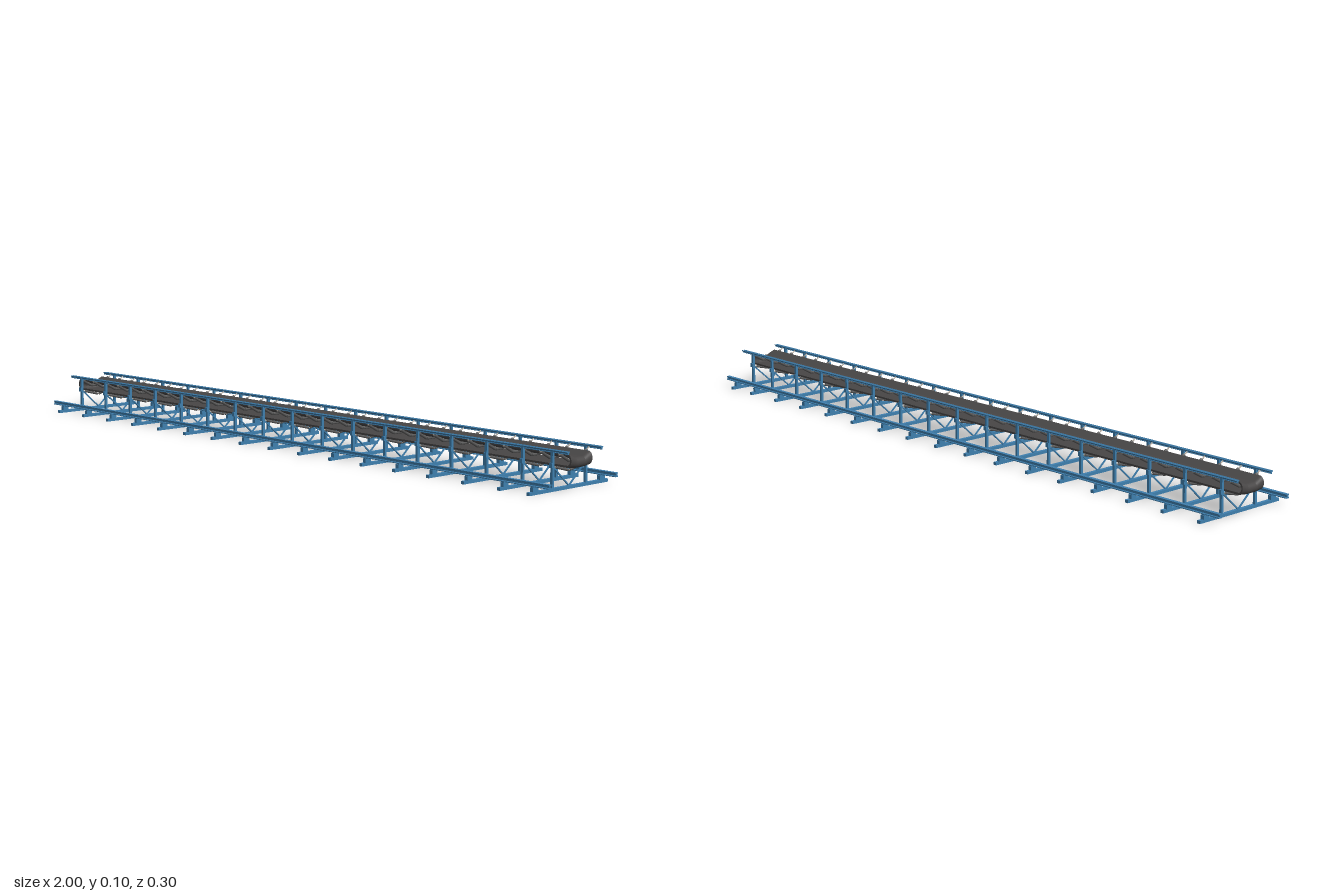
import * as THREE from 'three';

const blue = new THREE.MeshStandardMaterial({ color: 0x3f7fae });
blue.name = 'blueSteel';
const rubber = new THREE.MeshStandardMaterial({ color: 0x484646 });
rubber.name = 'beltRubber';
const grey = new THREE.MeshStandardMaterial({ color: 0x5c5c5c });
grey.name = 'rollerGrey';
const light = new THREE.MeshStandardMaterial({ color: 0xb5aca0 });
light.name = 'shaftMetal';

function box(parent, name, mat, w, h, d, x, y, z) {
  const m = new THREE.Mesh(new THREE.BoxGeometry(w, h, d), mat);
  m.name = name;
  m.position.set(x, y, z);
  parent.add(m);
  return m;
}

// Member between two points in the y-z plane: round (sides > 4) or square
function rod(parent, name, mat, r, [z1, y1], [z2, y2], sides = 10) {
  const a = new THREE.Vector3(0, y1, z1);
  const b = new THREE.Vector3(0, y2, z2);
  const dir = b.clone().sub(a);
  const geo = sides > 4
    ? new THREE.CylinderGeometry(r, r, dir.length(), sides)
    : new THREE.BoxGeometry(2 * r, dir.length(), 2 * r);
  const m = new THREE.Mesh(geo, mat);
  m.name = name;
  m.position.copy(a).add(b).multiplyScalar(0.5);
  m.quaternion.setFromUnitVectors(new THREE.Vector3(0, 1, 0), dir.normalize());
  parent.add(m);
}

// Closed loop outline of the belt seen from the side
function stadium(target, half, y0, y1) {
  const r = (y1 - y0) / 2;
  const c = (y0 + y1) / 2;
  target.moveTo(-half + r, y0);
  target.lineTo(half - r, y0);
  target.absarc(half - r, c, r, -Math.PI / 2, Math.PI / 2, false);
  target.lineTo(-half + r, y1);
  target.absarc(-half + r, c, r, Math.PI / 2, Math.PI * 1.5, false);
  return target;
}

// Belt loop, bent upward at both edges into a trough
function makeBelt() {
  const bottom = 0.056, top = 0.082, width = 0.08;
  const shape = stadium(new THREE.Shape(), 0.993, bottom, top);
  shape.holes.push(stadium(new THREE.Path(), 0.989, bottom + 0.004, top - 0.004));
  const geo = new THREE.ExtrudeGeometry(shape, { depth: width, steps: 16, bevelEnabled: false, curveSegments: 10 });
  geo.translate(0, 0, -width / 2);
  const p = geo.attributes.position;
  for (let i = 0; i < p.count; i++) {
    const bend = Math.max(0, (Math.abs(p.getZ(i)) - 0.015) / 0.025);
    const t = (p.getY(i) - bottom) / (top - bottom);
    p.setY(i, p.getY(i) + bend * THREE.MathUtils.lerp(0.003, 0.011, t));
  }
  geo.computeVertexNormals();
  const belt = new THREE.Mesh(geo, rubber);
  belt.name = 'belt';
  belt.position.x = -0.003;
  return belt;
}

// Three-roller carrying idler
function makeIdler(x) {
  const g = new THREE.Group();
  g.name = 'carryingIdler';
  g.position.x = x;
  rod(g, 'centreRoller', grey, 0.0045, [-0.015, 0.073], [0.015, 0.073]);
  for (const s of [-1, 1]) {
    rod(g, 'wingRoller', grey, 0.0045, [s * 0.017, 0.0735], [s * 0.05, 0.0915]);
    rod(g, 'wingShaft', light, 0.0018, [s * 0.05, 0.0915], [s * 0.061, 0.0985], 6);
  }
  return g;
}

// Posts, braces and return rollers standing on one sleeper
function makeTrestle(x) {
  const g = new THREE.Group();
  g.name = 'trestle';
  g.position.x = x;
  for (const s of [-1, 1]) {
    box(g, 'post', blue, 0.007, 0.094, 0.007, 0, 0.055, s * 0.063);
    box(g, 'postBracket', blue, 0.009, 0.012, 0.004, 0, 0.065, s * 0.0685);
    rod(g, 'brace', blue, 0.0017, [s * 0.06, 0.06], [0, 0.007], 4);
    rod(g, 'returnRoller', grey, 0.0035, [s * 0.003, 0.0465], [s * 0.05, 0.0585]);
    rod(g, 'returnShaft', light, 0.0015, [s * 0.05, 0.0585], [s * 0.062, 0.0615], 6);
  }
  rod(g, 'returnShaftCentre', light, 0.0015, [-0.004, 0.0465], [0.004, 0.0465], 6);
  return g;
}

// I-section track rail along x
function makeRail(z) {
  const half = [[0.0055, 0], [0.0055, 0.002], [0.0025, 0.0035], [0.0025, 0.0075], [0.0055, 0.009], [0.0055, 0.011]];
  const pts = [...half, ...half.map(([a, b]) => [-a, b]).reverse()];
  const shape = new THREE.Shape(pts.map(([a, b]) => new THREE.Vector2(a, b)));
  const geo = new THREE.ExtrudeGeometry(shape, { depth: 2, bevelEnabled: false });
  geo.translate(0, 0, -1);
  geo.rotateY(Math.PI / 2);
  const m = new THREE.Mesh(geo, blue);
  m.name = 'trackRail';
  m.position.set(0, 0.02, z);
  return m;
}

export function createModel() {
  const model = new THREE.Group();
  model.name = 'beltConveyor';

  // Conveyor sits slightly off the track centre line
  const conveyor = new THREE.Group();
  conveyor.name = 'conveyor';
  conveyor.position.z = -0.003;
  model.add(conveyor);
  conveyor.add(makeBelt());

  // Sleepers, rail chairs and trestles
  const stations = Array.from({ length: 16 }, (_, i) => -0.95 + i * 0.1203);
  stations.push(0.95);
  for (const x of stations) {
    box(model, 'sleeper', blue, 0.01, 0.008, 0.296, x, 0.004, 0);
    for (const s of [-1, 1]) {
      box(model, 'railChair', blue, 0.01, 0.011, 0.019, x, 0.0135, s * 0.126);
      box(model, 'railClip', blue, 0.01, 0.003, 0.014, x, 0.0205, s * 0.126);
    }
    conveyor.add(makeTrestle(x));
  }

  // Idlers at each half bay
  for (let i = 0; i < 33; i++) conveyor.add(makeIdler(-0.965 + i * 0.0602));

  for (const s of [-1, 1]) {
    model.add(makeRail(s * 0.126));
    // Angle-section stringer along the post tops
    for (const tilt of [-1, 1]) {
      const leg = box(conveyor, 'stringerLeg', blue, 2, 0.0095, 0.0018, 0, 0.1, s * 0.063 + tilt * 0.0015);
      leg.rotation.x = tilt * 0.75;
    }
  }

  return model;
}
